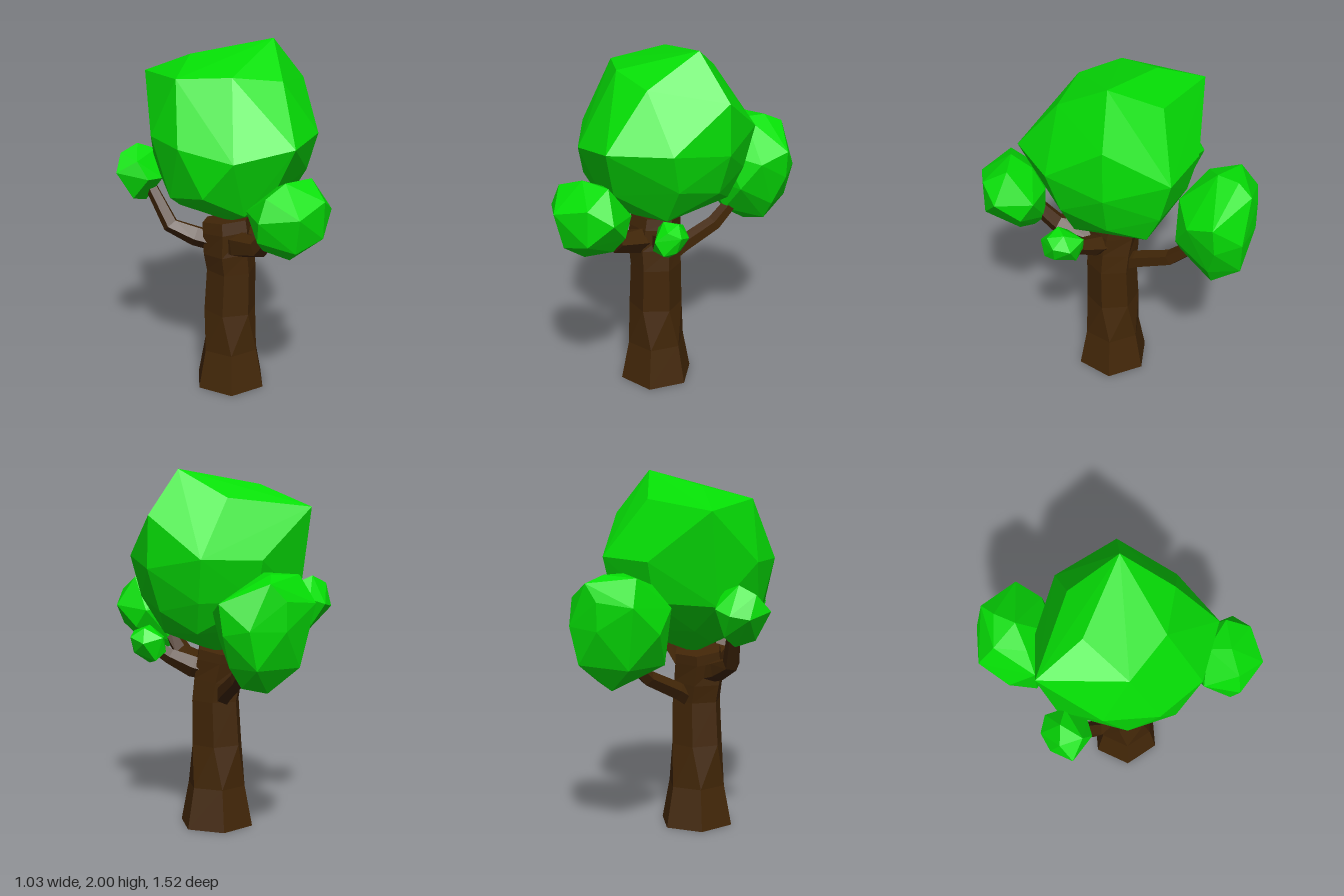
import * as THREE from 'three';
import { ConvexGeometry } from 'three/addons/geometries/ConvexGeometry.js';

const bark = new THREE.MeshStandardMaterial({ color: 0x432708, flatShading: true });
const leaf = new THREE.MeshStandardMaterial({ color: 0x05e005, flatShading: true });
const V = (x, y, z) => new THREE.Vector3(x, y, z);

// Faceted limb through stations [x, y, z, radius, twist]; "side" points to the first corner of each ring.
function limb(name, stations, sides, side) {
  const centres = stations.map(s => V(s[0], s[1], s[2]));
  const last = stations.length - 1, pos = [], index = [];
  stations.forEach(([, , , r, twist = 0], i) => {
    const t = centres[Math.min(i + 1, last)].clone().sub(centres[Math.max(i - 1, 0)]).normalize();
    const u = side.clone().addScaledVector(t, -side.dot(t)).normalize();
    const w = u.clone().cross(t);
    for (let k = 0; k < sides; k++) {
      const a = twist + k / sides * Math.PI * 2;
      const p = centres[i].clone().addScaledVector(u, r * Math.cos(a)).addScaledVector(w, r * Math.sin(a));
      pos.push(p.x, p.y, p.z);
    }
  });
  for (let i = 0; i < last; i++) for (let k = 0; k < sides; k++) {
    const a = i * sides + k, b = i * sides + (k + 1) % sides;
    index.push(a, a + sides, b, b, a + sides, b + sides);
  }
  // End caps
  for (let k = 1; k < sides - 1; k++) {
    const o = last * sides;
    index.push(0, k, k + 1, o, o + k + 1, o + k);
  }
  const g = new THREE.BufferGeometry();
  g.setAttribute('position', new THREE.Float32BufferAttribute(pos, 3));
  g.setIndex(index);
  g.computeVertexNormals();
  const m = new THREE.Mesh(g, bark);
  m.name = name;
  return m;
}

// Angular leaf clump wrapped around its corners.
function clump(name, corners) {
  const m = new THREE.Mesh(new ConvexGeometry(corners.map(c => V(...c))), leaf);
  m.name = name;
  return m;
}

export function createModel() {
  const tree = new THREE.Group();
  tree.name = 'tree';

  // Trunk, flared at the foot and slightly twisted
  tree.add(limb('trunk', [
    [0.022, 0, 0.02, 0.213], [0.022, 0.23, 0.02, 0.168], [0.018, 0.47, 0.02, 0.15, 0.32],
    [0.024, 0.72, 0.025, 0.142, 0.32], [0.01, 0.83, 0.02, 0.146, 0.3], [0.005, 0.95, 0.01, 0.145, 0.2],
    [0.005, 1.01, 0, 0.14, 0.2],
  ], 6, V(1, 0, 0)));

  // Branches, each rooted inside the trunk
  const branches = {
    frontBranch: [[0, 0.87, 0, 0.06], [0, 0.9, 0.15, 0.075], [0, 0.95, 0.34, 0.055], [0.02, 1.1, 0.47, 0.045]],
    rightBranch: [[-0.02, 0.87, 0, 0.06], [-0.15, 0.915, -0.08, 0.06], [-0.255, 0.97, -0.17, 0.048], [-0.32, 1.2, -0.3, 0.035]],
    backBranch: [[0.02, 0.7, 0, 0.05], [0.08, 0.79, -0.13, 0.05], [0.17, 0.89, -0.32, 0.045], [0.22, 1.02, -0.45, 0.038]],
    leftBranch: [[0.02, 0.87, 0, 0.05], [0.13, 0.91, 0.1, 0.062], [0.23, 0.97, 0.18, 0.045], [0.31, 1.04, 0.25, 0.035]],
  };
  for (const [name, path] of Object.entries(branches)) {
    const a = path[0], b = path[path.length - 1];
    tree.add(limb(name, path, 5, V(b[2] - a[2], 0, a[0] - b[0]).normalize()));
  }

  // Main crown, from its top corner down to the bottom
  tree.add(clump('crown', [
    [0.30, 2.0, 0.01], [-0.10, 1.92, -0.20], [-0.25, 1.80, -0.445], [-0.31, 1.85, 0.01],
    [-0.09, 1.87, 0.21], [0.18, 1.83, 0.28], [0.19, 1.85, -0.26], [0.505, 1.76, 0.01],
    [0.105, 1.53, 0.515], [0.39, 1.53, 0.32], [-0.20, 1.47, 0.40], [-0.39, 1.52, 0.16],
    [-0.39, 1.52, -0.13], [0.11, 1.53, -0.445], [0.43, 1.54, -0.325], [0.515, 1.48, 0.01],
    [0.05, 1.26, 0.40], [0.37, 1.31, 0.25], [-0.30, 1.26, 0.26], [-0.35, 1.20, 0],
    [-0.25, 1.30, -0.36], [0.10, 1.31, -0.39], [0.40, 1.31, -0.27], [0.44, 1.25, 0],
    [0.25, 1.10, 0.2], [0.08, 1.11, 0.26], [-0.08, 1.14, 0.32], [-0.29, 1.15, 0], [-0.08, 1.15, -0.26],
    [-0.12, 1.08, -0.14], [0.35, 1.14, -0.2], [0.03, 0.99, 0],
  ]));

  // Smaller clumps at the branch ends
  tree.add(clump('frontClump', [
    [0, 1.39, 0.58], [0.17, 1.385, 0.57], [-0.14, 1.34, 0.61], [0.26, 1.22, 0.63], [-0.19, 1.22, 0.62],
    [-0.035, 1.25, 0.76], [0.155, 1.3, 0.71], [0.15, 1.1, 0.71], [-0.02, 1.05, 0.71], [0.15, 1.01, 0.52],
    [0.04, 0.955, 0.46], [0.02, 0.97, 0.6], [-0.17, 1.1, 0.58], [-0.08, 1.01, 0.5], [0.04, 1.2, 0.39],
    [0.02, 1.0, 0.4], [-0.14, 1.22, 0.43], [0.2, 1.2, 0.43], [0.22, 1.1, 0.5], [0.03, 1.33, 0.46],
  ]));
  tree.add(clump('backClump', [
    [0.2, 1.48, -0.55], [0.26, 1.48, -0.66], [0.07, 1.47, -0.67], [0.045, 1.33, -0.765], [0.25, 1.2, -0.765],
    [0.25, 1.35, -0.765], [0.33, 1.44, -0.73], [0.44, 1.21, -0.70], [0.505, 1.34, -0.545], [0.425, 1.28, -0.41],
    [0.33, 1.13, -0.35], [-0.035, 1.3, -0.47], [-0.035, 1.18, -0.62], [0.49, 1.18, -0.56], [0.39, 1.01, -0.70],
    [0.42, 1.01, -0.53], [0.355, 0.9, -0.55], [0.24, 0.88, -0.51], [0.24, 0.87, -0.62], [0.1, 1.0, -0.71],
    [0.2, 0.97, -0.38], [0.1, 1.13, -0.36], [0.2, 1.31, -0.355], [0, 1.0, -0.48], [0.06, 1.42, -0.5],
  ]));
  tree.add(clump('rightClump', [
    [-0.52, 1.285, -0.3], [-0.46, 1.375, -0.36], [-0.36, 1.42, -0.35], [-0.445, 1.25, -0.415],
    [-0.35, 1.27, -0.46], [-0.26, 1.3, -0.43], [-0.38, 1.25, -0.19], [-0.43, 1.125, -0.28],
    [-0.33, 1.09, -0.32], [-0.25, 1.2, -0.3], [-0.26, 1.38, -0.32], [-0.3, 1.15, -0.4],
    [-0.42, 1.35, -0.24], [-0.28, 1.24, -0.21],
  ]));
  tree.add(clump('leftClump', [
    [0.42, 1.08, 0.29], [0.39, 0.99, 0.29], [0.36, 1.13, 0.24], [0.29, 1.14, 0.28], [0.22, 1.07, 0.24],
    [0.23, 1.0, 0.27], [0.31, 0.93, 0.26], [0.33, 0.95, 0.18], [0.31, 1.08, 0.14], [0.4, 1.05, 0.2],
    [0.31, 1.06, 0.375], [0.35, 0.98, 0.35], [0.26, 0.98, 0.33], [0.28, 1.0, 0.15], [0.36, 1.11, 0.33],
  ]));
  return tree;
}
